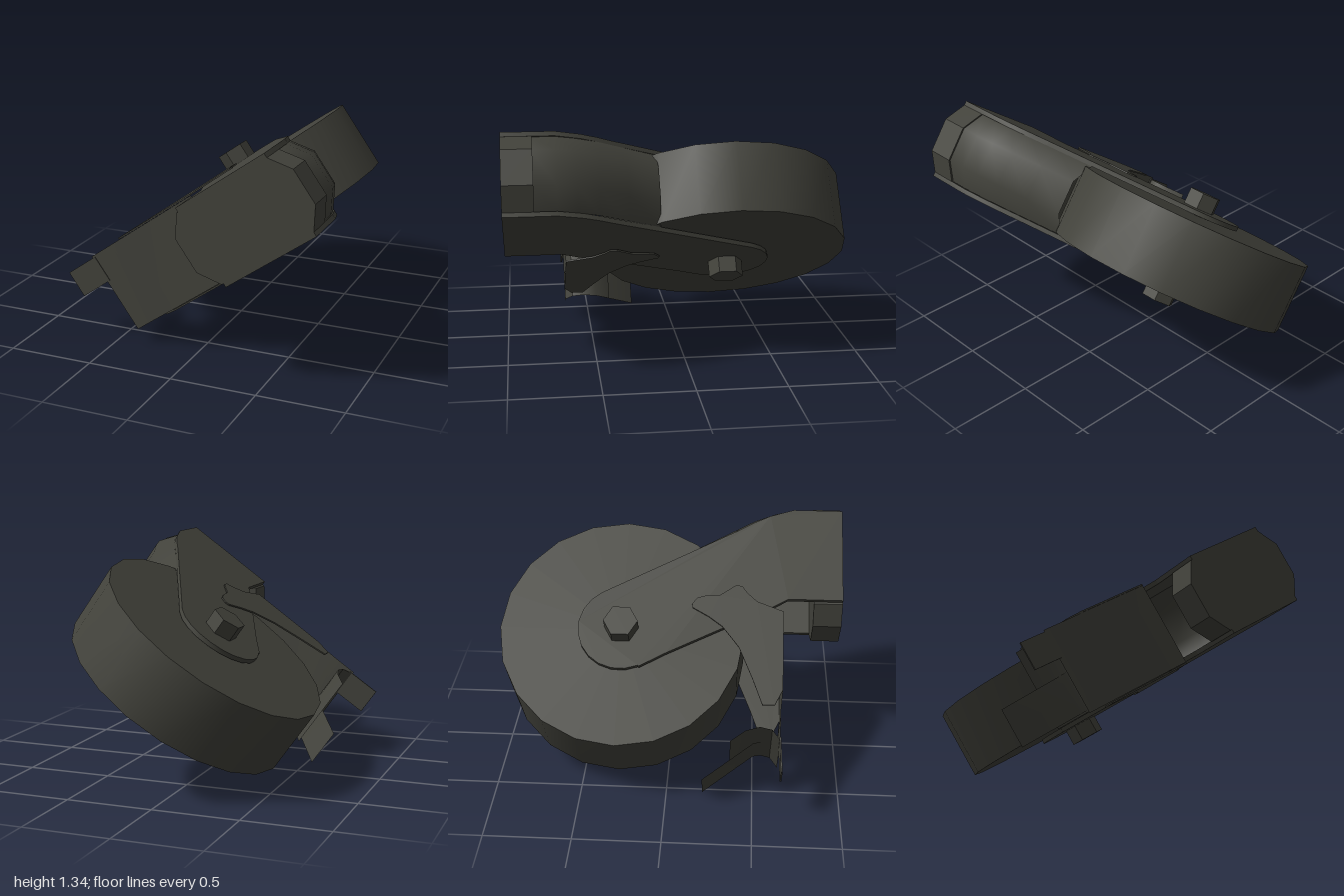
import * as THREE from 'three';
import { toCreasedNormals } from 'three/addons/utils/BufferGeometryUtils.js';

// Local frame: x runs across the fork, y along the axle, z along the stem.
const MID = 0.533;            // middle plane of the wheel along the axle
const AXLE = [0.4, -0.285];   // axle position (x, z)

const dark = new THREE.MeshStandardMaterial({ color: 0x42423b });
dark.name = 'charcoal';
dark.side = THREE.DoubleSide;

export function createModel() {
  const model = new THREE.Group();
  model.name = 'casterWheel';
  const body = new THREE.Group();
  body.name = 'tiltedCaster';
  body.rotation.z = THREE.MathUtils.degToRad(35.4);
  model.add(body);

  function add(name, geometry, crease = 0.5) {
    const mesh = new THREE.Mesh(toCreasedNormals(geometry, crease), dark);
    mesh.name = name;
    body.add(mesh);
    return mesh;
  }

  // Flat plate with an (x, z) outline, between two heights on the axle axis
  function plate(name, points, y0, y1) {
    const shape = new THREE.Shape(points.map(([x, z]) => new THREE.Vector2(x, -z)));
    const g = new THREE.ExtrudeGeometry(shape, { depth: y1 - y0, bevelEnabled: false });
    g.rotateX(-Math.PI / 2).translate(0, y0, 0);
    return add(name, g);
  }

  // Open skin through rows of points
  function skin(name, rows, crease = 0.6) {
    const n = rows[0].length, index = [];
    for (let r = 0; r < rows.length - 1; r++) {
      for (let i = 0; i < n - 1; i++) {
        const a = r * n + i, b = a + n;
        index.push(a, b, a + 1, a + 1, b, b + 1);
      }
    }
    const g = new THREE.BufferGeometry();
    g.setAttribute('position', new THREE.Float32BufferAttribute(rows.flat(2), 3));
    g.setIndex(index);
    return add(name, g, crease);
  }

  // Bent sheet following an (x, z) path
  const sheet = (name, path, y0, y1) =>
    skin(name, path.map(([x, z]) => [[x, y0, z], [x, y1, z]]));

  // Wheel, twenty sides
  add('wheel', new THREE.CylinderGeometry(0.715, 0.715, 0.412, 20).translate(AXLE[0], MID, AXLE[1]));

  // Axle with hexagonal ends
  add('axleBolt', new THREE.CylinderGeometry(0.1, 0.1, 0.678, 6).translate(AXLE[0], MID, AXLE[1]));

  // Fork arms: round around the axle, straight towards the stem
  const arm = [];
  for (let i = 0; i <= 10; i++) {
    const t = THREE.MathUtils.degToRad(-30 - i * 17.5);
    arm.push([AXLE[0] + 0.26 * Math.cos(t), AXLE[1] + 0.255 * Math.sin(t)]);
  }
  arm.push([0.16, -0.17], [0.247, -0.02], [0.418, 0.31], [0.553, 0.58], [0.613, 0.68],
    [0.613, 1], [1.215, 1], [1.215, 0.71], [1.17, 0.57], [1.125, 0.48], [1.07, 0.39]);

  // Brake side plates with a horned outline
  const brakeSide = [[0.535, 0.125], [0.56, 0.12], [0.6, 0.15], [0.615, 0.2], [0.62, 0.28],
    [0.685, 0.37], [0.685, 0.41], [0.64, 0.44], [0.585, 0.5], [0.525, 0.655], [0.034, 0.655],
    [-0.06, 0.61], [-0.06, 0.54], [0.1, 0.48], [0.29, 0.4], [0.42, 0.3], [0.48, 0.22]];

  for (const s of [1, -1]) {
    const side = s > 0 ? 'left' : 'right';
    const span = (a, b) => [MID + s * a, MID + s * b].sort((p, q) => p - q);
    plate(side + 'ForkArm', arm, ...span(0.217, 0.244));
    plate(side + 'BrakePlate', brakeSide, ...span(0.25, 0.259));
  }

  // Stem collar: eight-sided block between the arms
  const collar = new THREE.Shape([[0.6, 0.312], [0.51, 0.43], [0.51, 0.635], [0.6, 0.752],
    [1.213, 0.752], [1.304, 0.635], [1.304, 0.43], [1.213, 0.312]].map(p => new THREE.Vector2(...p)));
  add('stemCollar', new THREE.ExtrudeGeometry(collar, { depth: 0.168, bevelEnabled: false }).translate(0, 0, 0.832));

  // Back web: bent channel joining the arms
  const web = [[1.205, 0.835], [1.205, 0.71], [1.175, 0.6], [1.125, 0.48], [1.03, 0.32], [0.925, 0.14]];
  skin('backWeb', web.map(([x, z]) =>
    [[x, 0.318, z], [x + 0.09, 0.432, z], [x + 0.09, 0.634, z], [x, 0.75, z]]), 0.9);

  // Brake pedal: front wall, cupped end, foot pad and release tab
  sheet('brakeFrontWall', [[0.525, 0.655], [0.034, 0.655], [-0.1, 0.645], [-0.26, 0.645]], 0.285, 0.782);
  sheet('brakeCup', [[-0.26, 0.645], [-0.2, 0.6], [-0.185, 0.53], [-0.21, 0.45], [-0.275, 0.365]], 0.297, 0.77);
  plate('footPad', [[-0.446, 0.65], [-0.24, 0.64], [-0.24, 0.649], [-0.446, 0.659]], 0.61, 0.771);
  sheet('releaseTab', [[-0.43, 0.21], [-0.2, 0.5], [-0.19, 0.55]], 0.307, 0.54);

  return model;
}
